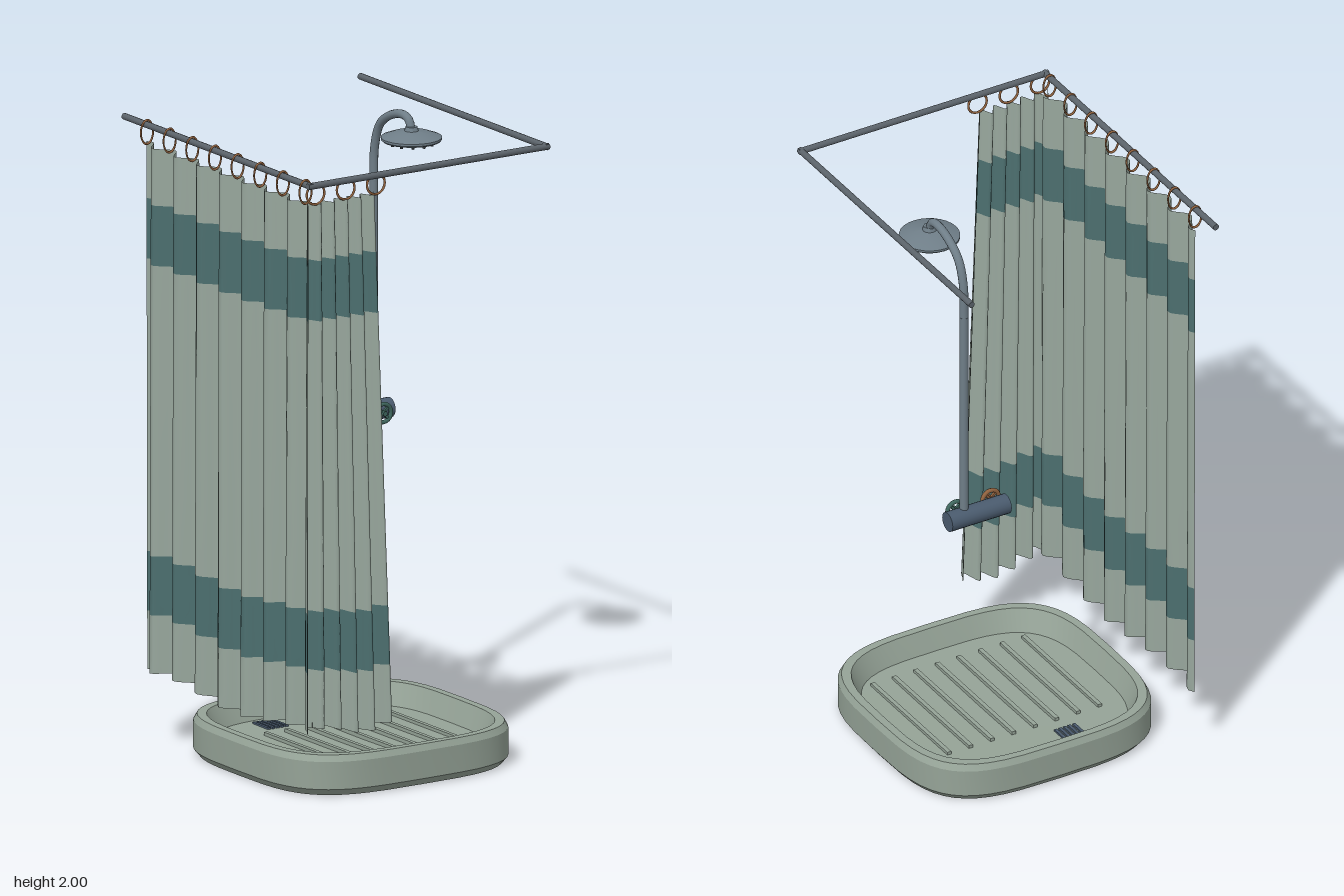
import * as THREE from 'three';
import { toCreasedNormals } from 'three/addons/utils/BufferGeometryUtils.js';

const mat = (name, color, side = THREE.FrontSide) => {
  const m = new THREE.MeshStandardMaterial({ color, side });
  m.name = name;
  return m;
};

export function createModel() {
  const model = new THREE.Group();
  model.name = 'shower';

  const enamel = mat('enamel', 0x95a397);
  const cloth = mat('pale cloth', 0x98a79d, THREE.DoubleSide);
  const bandCloth = mat('teal cloth', 0x4c6f6f, THREE.DoubleSide);
  const steel = mat('rail steel', 0x5c646b);
  const chrome = mat('chrome', 0x6f7e88);
  const blueMetal = mat('blue metal', 0x4a5b6e);
  const copper = mat('copper', 0x92633f);
  const teal = mat('teal metal', 0x40685f);
  const dark = mat('nozzle rubber', 0x33393d);

  const add = (name, geometry, material, x = 0, y = 0, z = 0, parent = model) => {
    const m = new THREE.Mesh(geometry, material);
    m.name = name;
    m.position.set(x, y, z);
    parent.add(m);
    return m;
  };

  // Tray: a lathe whose circle is pushed out to a rounded square
  const profile = [[0, 0], [0.96, 0], [1, 0.022], [1, 0.11], [0.976, 0.13], [0.915, 0.13], [0.85, 0.06], [0, 0.056]];
  const trayGeo = new THREE.LatheGeometry(profile.map(p => new THREE.Vector2(...p)), 48);
  const pos = trayGeo.attributes.position;
  const bulge = (c) => Math.sign(c) * Math.pow(Math.abs(c), 2 / 3.6);
  for (let i = 0; i < pos.count; i++) {
    const x = pos.getX(i), z = pos.getZ(i), r = Math.hypot(x, z);
    if (r < 1e-6) continue;
    pos.setX(i, 0.428 * r * bulge(x / r));
    pos.setZ(i, 0.412 * r * bulge(z / r));
  }
  add('tray', toCreasedNormals(trayGeo, 0.35), enamel, 0.01, 0, 0.068);

  // Floor ribs and drain slots
  for (let i = 0; i < 8; i++) {
    add('trayRib', new THREE.BoxGeometry(0.014, 0.014, 0.464), enamel, -0.259 + i * 0.0772, 0.062, 0.115);
  }
  for (let i = 0; i < 5; i++) {
    add('drainSlot', new THREE.BoxGeometry(0.01, 0.008, 0.087), blueMetal, -0.136 + i * 0.0163, 0.061, -0.209);
  }

  // Three-sided curtain rail
  const railY = 1.98;
  const rail = (name, length, x, z, alongX) => {
    const g = new THREE.CylinderGeometry(0.0105, 0.0105, length, 10);
    if (alongX) g.rotateZ(Math.PI / 2); else g.rotateX(Math.PI / 2);
    add(name, g, steel, x, railY, z);
  };
  rail('leftRail', 1.04, 0.446, -0.01, false);
  rail('rightRail', 1.04, -0.431, -0.01, false);
  rail('frontRail', 0.894, 0.006, 0.503, true);

  // Curtain rings
  for (let i = 0; i < 8; i++) {
    const ring = add('sideCurtainRing', new THREE.TorusGeometry(0.038, 0.004, 6, 20), copper, -0.427, 1.955, -0.41 + i * 0.1257);
    ring.scale.x = 0.6;
  }
  for (let i = 0; i < 3; i++) {
    add('frontCurtainRing', new THREE.TorusGeometry(0.033, 0.004, 6, 20), copper, -0.41 + i * 0.112, 1.952, 0.5);
  }

  // Curtains: pleated strips, cut by height into pale and teal bands
  const bands = [
    [0.232, 0.42, cloth], [0.42, 0.61, bandCloth], [0.61, 1.545, cloth],
    [1.545, 1.738, bandCloth], [1.738, 1.92, cloth],
  ];
  const curtain = (name, columns, place) => {
    const group = new THREE.Group();
    group.name = name;
    model.add(group);
    const rows = 4;
    for (const [y0, y1, material] of bands) {
      const g = new THREE.PlaneGeometry(1, 1, columns, rows);
      const p = g.attributes.position;
      for (let i = 0; i < p.count; i++) {
        const y = y0 + (p.getY(i) + 0.5) * (y1 - y0);
        p.setXYZ(i, ...place(p.getX(i) + 0.5, y, (1.92 - y) / 1.69));
      }
      g.computeVertexNormals();
      add(material === cloth ? 'curtainPanel' : 'curtainBand', g, material, 0, 0, 0, group);
    }
  };
  // u runs along the cloth, drop goes from 0 at the top to 1 at the hem
  curtain('sideCurtain', 60, (u, y, drop) => {
    const z = -0.43 + u * (0.905 + 0.02 * drop);
    const fold = Math.cos((z + 0.41) / 0.1257 * Math.PI * 2);
    const hem = -0.017 * Math.cos((z - 0.11) / 0.74 * Math.PI * 2) * drop ** 1.5;
    return [-0.428 + (0.023 + 0.006 * drop) * fold, y + hem, z];
  });
  curtain('frontCurtain', 50, (u, y, drop) => {
    const x = -0.445 - 0.015 * drop + u * (0.27 + 0.075 * drop);
    const fold = Math.cos(u * 5.5 * Math.PI * 2);
    const hem = -0.017 * Math.cos((x + 0.235) / 0.33 * Math.PI * 2) * drop ** 1.5;
    return [x, y + hem, 0.49 + 0.01 * drop + (0.019 + 0.009 * drop) * fold];
  });

  // Mixer valve
  const valveGeo = new THREE.CylinderGeometry(0.032, 0.032, 0.212, 20).rotateZ(Math.PI / 2);
  add('mixerValve', valveGeo, blueMetal, 0.254, 1, -0.238);

  // Hot and cold wheel handles
  const handle = (name, x, material) => {
    const group = new THREE.Group();
    group.name = name;
    group.position.set(x, 1, -0.188);
    model.add(group);
    add('handleRim', new THREE.TorusGeometry(0.029, 0.007, 8, 20), material, 0, 0, 0, group);
    for (const turn of [Math.PI / 4, -Math.PI / 4]) {
      add('handleSpoke', new THREE.BoxGeometry(0.058, 0.008, 0.008), material, 0, 0, 0, group).rotation.z = turn;
    }
    add('handleStem', new THREE.CylinderGeometry(0.008, 0.008, 0.04, 10).rotateX(Math.PI / 2), material, 0, 0, -0.007, group);
  };
  handle('hotHandle', 0.176, copper);
  handle('coldHandle', 0.302, teal);

  // Riser pipe and curved arm
  const headX = 0.3, headZ = -0.028;
  add('riserPipe', new THREE.CylinderGeometry(0.0135, 0.0135, 0.72, 12), chrome, headX, 1.37, -0.237);
  const arm = new THREE.CatmullRomCurve3([
    [1.73, -0.237], [1.84, -0.233], [1.92, -0.203], [1.963, -0.14],
    [1.978, -0.075], [1.968, -0.042], [1.93, headZ],
  ].map(([y, z]) => new THREE.Vector3(headX, y, z)));
  add('showerArm', new THREE.TubeGeometry(arm, 28, 0.0135, 12), chrome);

  // Shower head with two rings of nozzles
  const headProfile = [[0, 1.905], [0.09, 1.905], [0.095, 1.91], [0.095, 1.917], [0.06, 1.93], [0.022, 1.937], [0.018, 1.95], [0, 1.95]];
  const headGeo = new THREE.LatheGeometry(headProfile.map(p => new THREE.Vector2(...p)), 28);
  add('showerHead', toCreasedNormals(headGeo, 0.5), chrome, headX, 0, headZ);
  for (const [radius, count] of [[0.035, 6], [0.07, 12]]) {
    for (let i = 0; i < count; i++) {
      const a = i / count * Math.PI * 2;
      add('nozzle', new THREE.CylinderGeometry(0.006, 0.005, 0.012, 8), dark,
        headX + radius * Math.cos(a), 1.901, headZ + radius * Math.sin(a));
    }
  }

  return model;
}
